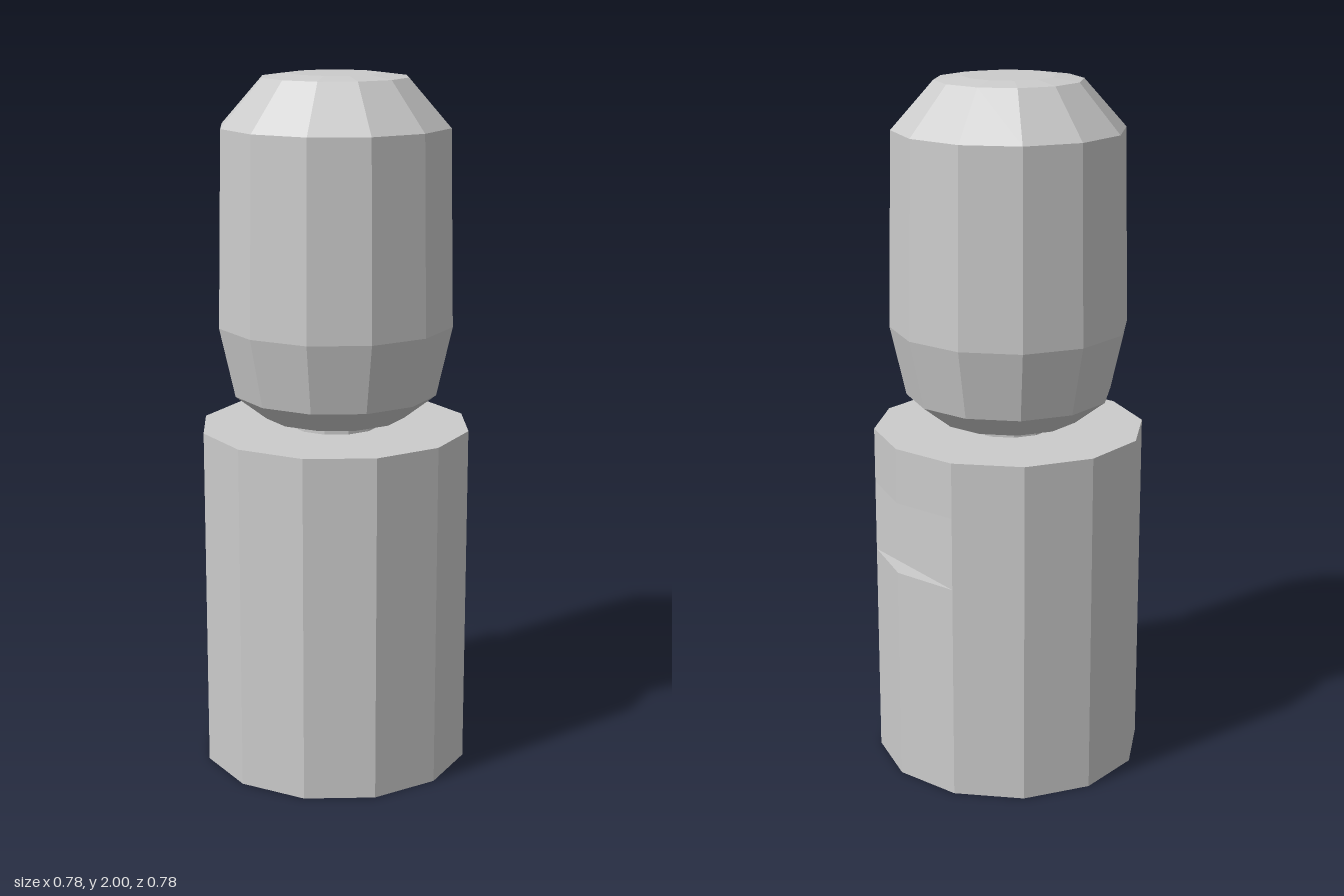
import * as THREE from 'three';

const SIDES = 12;
const R = 0.39;                  // body radius
const H = 1.0;                   // body height
const NOTCH = [0.63, 0.84];      // notch bottom and top

export function createModel() {
  const model = new THREE.Group();
  const solid = new THREE.MeshStandardMaterial({ color: 0xcccccc, flatShading: true });
  const shell = new THREE.MeshStandardMaterial({ color: 0xcccccc, flatShading: true, side: THREE.DoubleSide });

  const add = (name, geometry, material, parent = model) => {
    const mesh = new THREE.Mesh(geometry, material);
    mesh.name = name;
    parent.add(mesh);
    return mesh;
  };

  // Body: thin twelve-sided tube, open at the bottom
  const body = new THREE.Group();
  body.name = 'body';
  model.add(body);
  const wall = (name, y0, y1, segments = SIDES, start = 0, length = Math.PI * 2) => {
    const g = new THREE.CylinderGeometry(R, R, y1 - y0, segments, 1, true, start, length);
    add(name, g.translate(0, (y0 + y1) / 2, 0), shell, body);
  };
  wall('lowerWall', 0, NOTCH[0]);
  wall('notchedWall', NOTCH[0], NOTCH[1], SIDES - 2, Math.PI * 2 / 3, Math.PI * 5 / 3);
  wall('upperWall', NOTCH[1], H);
  add('bodyTop', new THREE.CircleGeometry(R, SIDES).rotateX(-Math.PI / 2).translate(0, H, 0), shell, body);

  // Notch: flat back across two facets, with a triangular ledge below and above
  const depthX = R * Math.cos(Math.PI / 6);
  const halfZ = R * Math.sin(Math.PI / 6);
  const back = new THREE.PlaneGeometry(halfZ * 2, NOTCH[1] - NOTCH[0]).rotateY(Math.PI / 2);
  add('notchBack', back.translate(depthX, (NOTCH[0] + NOTCH[1]) / 2, 0), shell, body);
  const ledge = new THREE.Shape([
    new THREE.Vector2(depthX, -halfZ),
    new THREE.Vector2(R, 0),
    new THREE.Vector2(depthX, halfZ),
  ]);
  NOTCH.forEach((y, i) => {
    const g = new THREE.ShapeGeometry(ledge).rotateX(i ? Math.PI / 2 : -Math.PI / 2);
    add(i ? 'notchCeiling' : 'notchFloor', g.translate(0, y, 0), shell, body);
  });

  // Short neck joining body and head
  add('neck', new THREE.CylinderGeometry(0.13, 0.13, 0.04, SIDES, 1, true).translate(0, 1.015, 0), solid);

  // Faceted barrel-shaped head
  const profile = [
    [0, 1.03], [0.205, 1.03], [0.295, 1.1], [0.34, 1.3],
    [0.328, 1.855], [0.208, 1.99], [0.13, 2], [0, 2],
  ].map(([r, y]) => new THREE.Vector2(r, y));
  add('head', new THREE.LatheGeometry(profile, SIDES), solid);

  return model;
}
